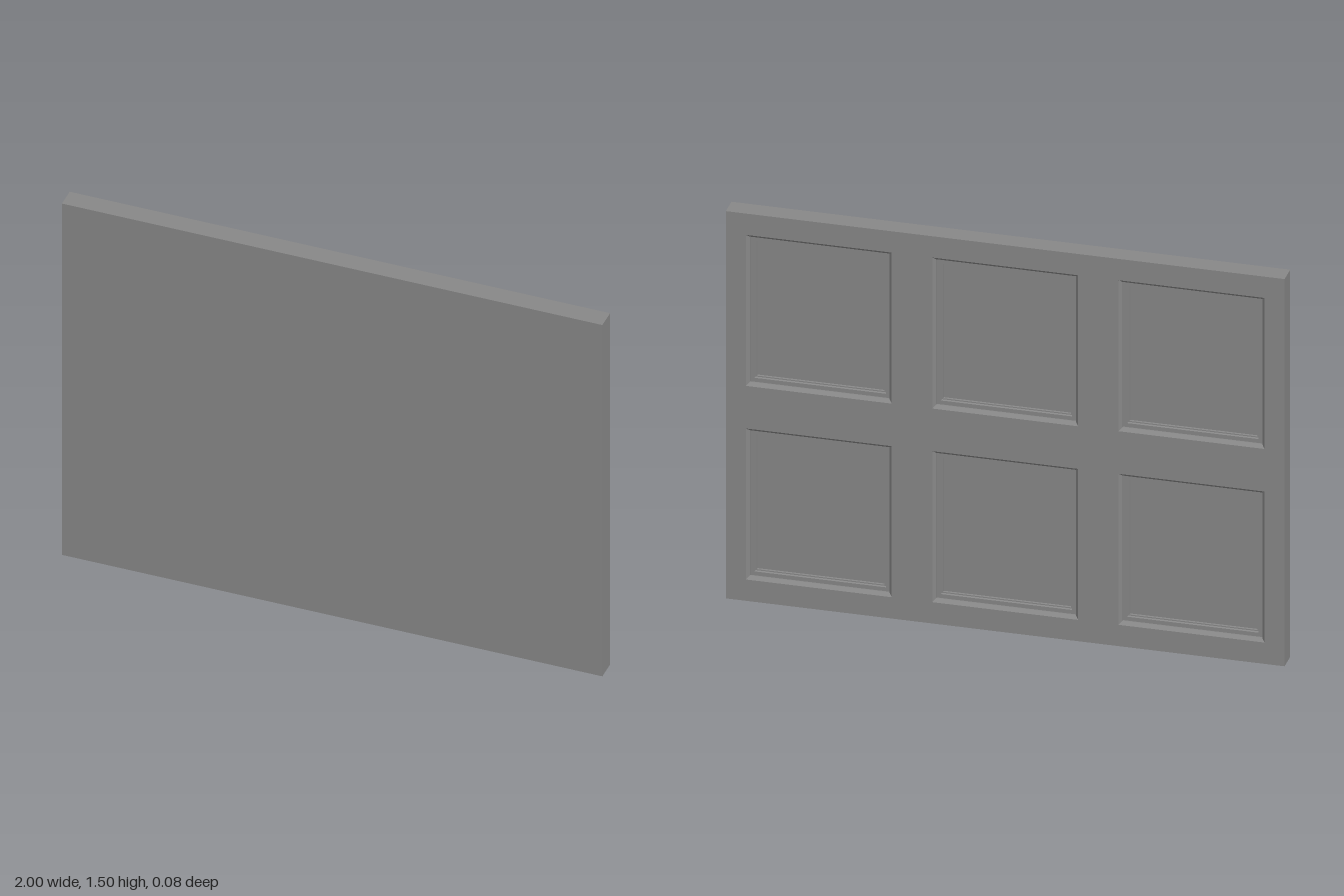
import * as THREE from 'three';

const W = 2, H = 1.5, D = 0.075;          // slab size
const PW = 0.522, PH = 0.585;             // recess opening
const COLS = [-0.667, 0, 0.667], ROWS = [0.375, 1.125];

// Moulding profile: [inset from opening, depth below the face]
const PROFILE = [[0, 0], [0.011, 0.012], [0.011, 0.018], [0.026, 0.018], [0.028, 0.025], [0.032, 0.025], [0.033, 0.032]];

// Corners of a rectangle, counter-clockwise seen from +z
function corners(w, h, z = 0) {
  return [[-1, -1], [1, -1], [1, 1], [-1, 1]].map(([x, y]) => [x * w / 2, y * h / 2, z]);
}

// Stepped recess facing +z: mitred moulding strips plus the sunken floor
function recessGeometry() {
  const rings = PROFILE.map(([inset, depth]) => corners(PW - 2 * inset, PH - 2 * inset, -depth));
  const pos = [];
  const quad = (a, b, c, d) => pos.push(...a, ...b, ...c, ...a, ...c, ...d);
  for (let r = 0; r < rings.length - 1; r++) {
    for (let i = 0; i < 4; i++) {
      const j = (i + 1) % 4;
      quad(rings[r][i], rings[r][j], rings[r + 1][j], rings[r + 1][i]);
    }
  }
  quad(...rings[rings.length - 1]);
  const geo = new THREE.BufferGeometry();
  geo.setAttribute('position', new THREE.Float32BufferAttribute(pos, 3));
  geo.computeVertexNormals();
  return geo;
}

export function createModel() {
  const group = new THREE.Group();
  group.name = 'panelledSlab';
  const material = new THREE.MeshStandardMaterial({ color: 0x878787 });

  // Plain front and edges: a box without its back face
  const box = new THREE.BoxGeometry(W, H, D);
  box.setIndex(Array.from(box.index.array).slice(0, 30));
  box.clearGroups();
  const body = new THREE.Mesh(box, material);
  body.name = 'slabBody';
  body.position.y = H / 2;
  group.add(body);

  // Back side, built facing +z and turned round
  const back = new THREE.Group();
  back.name = 'panelledBack';
  back.rotation.y = Math.PI;
  back.position.z = -D / 2;
  group.add(back);

  // Rails and stiles: flat face with six openings
  const face = new THREE.Shape(corners(W, H).map(([x, y]) => new THREE.Vector2(x, y + H / 2)));
  const recess = recessGeometry();
  for (const y of ROWS) {
    for (const x of COLS) {
      face.holes.push(new THREE.Path(corners(PW, PH).map(([cx, cy]) => new THREE.Vector2(x + cx, y + cy))));
      const panel = new THREE.Mesh(recess, material);
      panel.name = 'recessedPanel';
      panel.position.set(x, y, 0);
      back.add(panel);
    }
  }
  const frame = new THREE.Mesh(new THREE.ShapeGeometry(face), material);
  frame.name = 'railsAndStiles';
  back.add(frame);

  return group;
}
